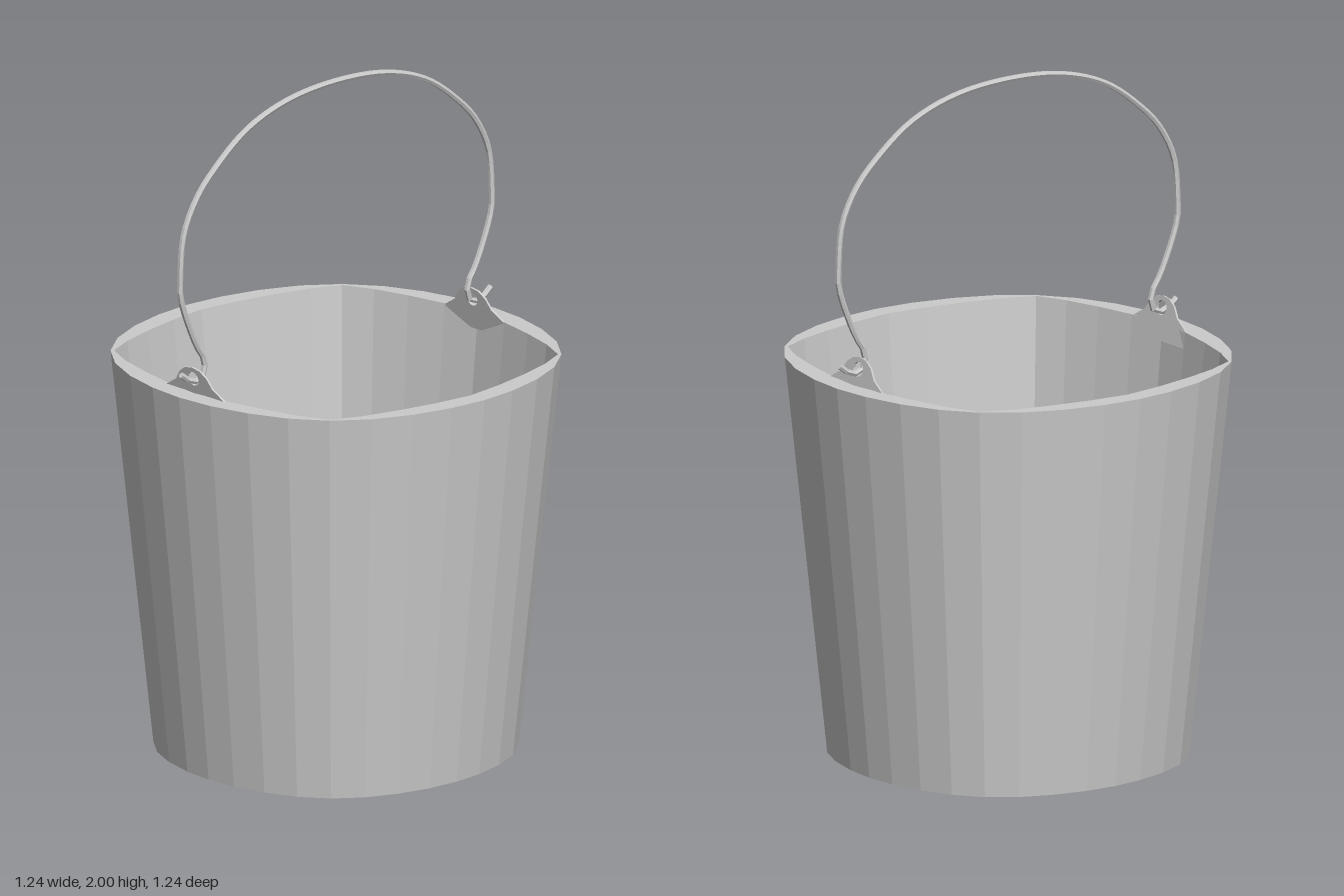
import * as THREE from 'three';

const steel = new THREE.MeshStandardMaterial({ color: 0xcccccc, flatShading: true, side: THREE.DoubleSide });

// Eighth-outlines from the middle of a side to the corner: [distance out, distance along]
const OUTER = [[0.62, 0], [0.61, 0.12], [0.58, 0.245], [0.53, 0.36], [0.457, 0.457]];
const INNER = [[0.56, 0], [0.545, 0.125], [0.52, 0.25], [0.49, 0.36], [0.45, 0.45]];

// Mirrors and turns an eighth-outline into a closed 32-point ring of [x, y, z]
function ring(eighth, scale, y) {
  const side = [
    ...eighth.slice(1).reverse().map(([a, b]) => [a, -b]),
    ...eighth.slice(0, -1),
  ];
  const pts = [];
  for (let q = 0; q < 4; q++) {
    const c = Math.round(Math.cos(q * Math.PI / 2)), s = Math.round(Math.sin(q * Math.PI / 2));
    for (const [a, b] of side) pts.push([(a * c - b * s) * scale, y, (a * s + b * c) * scale]);
  }
  return pts;
}

// Joins successive rings with faceted walls
function loft(rings) {
  const pos = [];
  for (let r = 0; r < rings.length - 1; r++) {
    const lo = rings[r], hi = rings[r + 1], n = lo.length;
    for (let i = 0; i < n; i++) {
      const j = (i + 1) % n;
      if (r < rings.length - 2) pos.push(...lo[i], ...hi[i], ...hi[j], ...lo[i], ...hi[j], ...lo[j]);
      else pos.push(...lo[i], ...hi[i], ...lo[j]);
    }
  }
  const g = new THREE.BufferGeometry();
  g.setAttribute('position', new THREE.Float32BufferAttribute(pos, 3));
  g.computeVertexNormals();
  return g;
}

function addMesh(group, name, geometry) {
  const mesh = new THREE.Mesh(geometry, steel);
  mesh.name = name;
  group.add(mesh);
  return mesh;
}

// Flat lug with a round hole, standing in the z-y plane, y = 0 at the rim
function earGeometry() {
  const half = [[0.12, -0.05], [0.12, 0], [0.075, 0.028], [0.055, 0.058], [0.03, 0.075]];
  const outline = [...half, [0, 0.08], ...half.map(([x, y]) => [-x, y]).reverse()];
  const shape = new THREE.Shape(outline.map(([x, y]) => new THREE.Vector2(x, y)));
  const hole = new THREE.Path();
  hole.absarc(0, 0.045, 0.022, 0, Math.PI * 2, true);
  shape.holes.push(hole);
  const g = new THREE.ExtrudeGeometry(shape, { depth: 0.006, bevelEnabled: false, curveSegments: 6 });
  g.translate(0, 0, -0.003);
  g.rotateY(Math.PI / 2);
  return g;
}

export function createModel() {
  const group = new THREE.Group();
  group.name = 'bucket';

  // Tapered bucket wall: underside, outside, rim, inside, floor
  addMesh(group, 'bucketBody', loft([
    ring(OUTER, 0, 0),
    ring(OUTER, 0.81, 0),
    ring(OUTER, 1, 1.175),
    ring(INNER, 1, 1.175),
    ring(INNER, 0.81, 0.05),
    ring(INNER, 0, 0.05),
  ]));

  // Handle lugs, both tilted the same way
  const ear = earGeometry();
  for (const [name, x] of [['leftEar', 0.547], ['rightEar', -0.552]]) {
    const mesh = addMesh(group, name, ear);
    mesh.position.set(x, 1.175, 0);
    mesh.rotation.z = 0.17;
  }

  // Wire handle, hooked through the lugs at each end
  const half = [
    [0.61, 1.24], [0.57, 1.212], [0.532, 1.213], [0.518, 1.26], [0.555, 1.325], [0.612, 1.47],
    [0.614, 1.53], [0.6, 1.66], [0.548, 1.76], [0.48, 1.83], [0.355, 1.92], [0.2, 1.973],
  ];
  const path = [...half, [0, 1.991], ...half.map(([x, y]) => [-x, y]).reverse()];
  const curve = new THREE.CatmullRomCurve3(path.map(([x, y]) => new THREE.Vector3(x, y, 0)));
  addMesh(group, 'handle', new THREE.TubeGeometry(curve, 80, 0.009, 6));

  // Closed wire ends
  for (const s of [1, -1]) {
    const cap = addMesh(group, s > 0 ? 'leftWireEnd' : 'rightWireEnd', new THREE.CircleGeometry(0.009, 6));
    cap.position.set(0.61 * s, 1.24, 0);
    cap.lookAt(0.65 * s, 1.268, 0);
  }
  return group;
}
